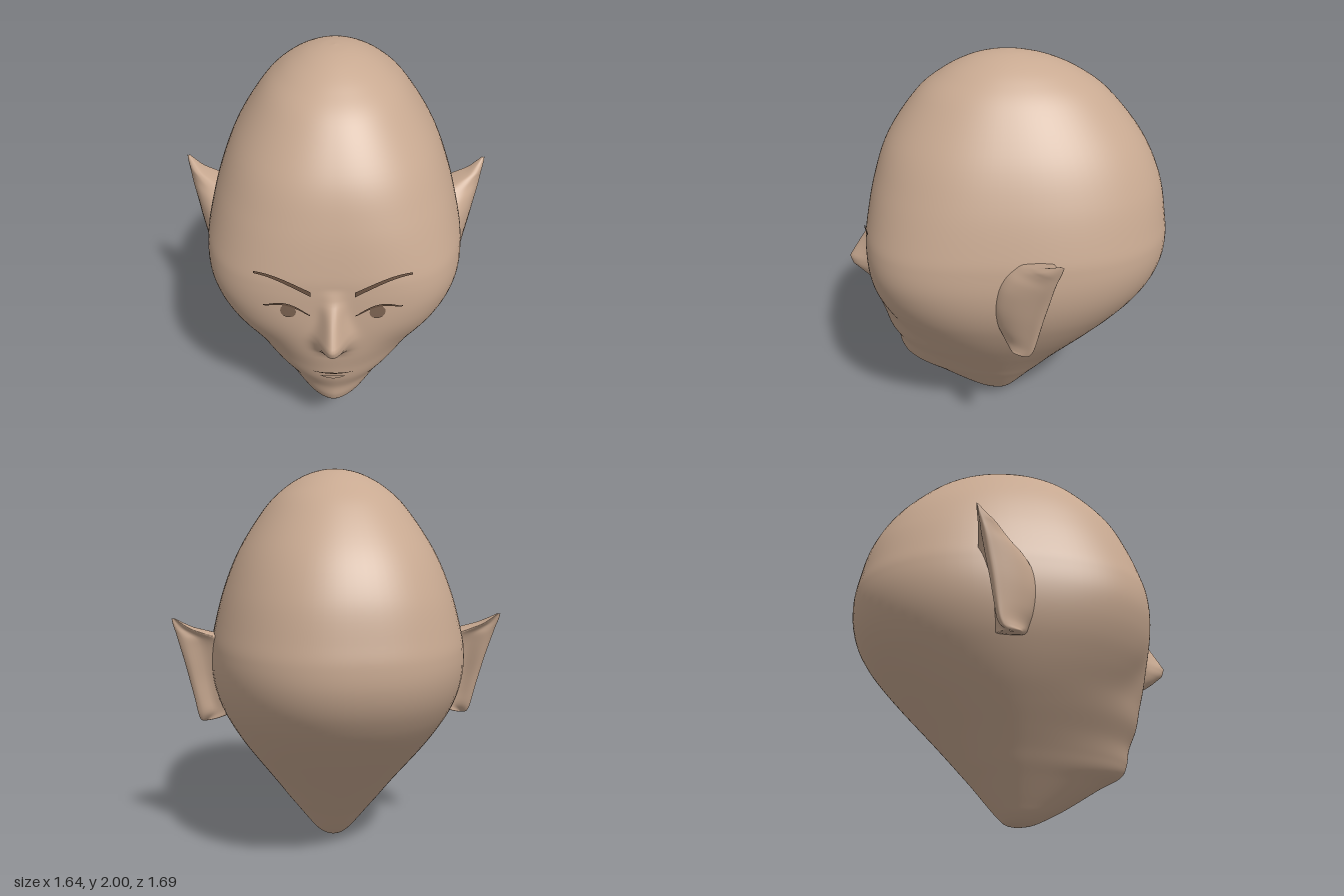
import * as THREE from 'three';

const skin = new THREE.MeshStandardMaterial({ color: 0xc8a991 });
skin.name = 'skin';
const hair = new THREE.MeshStandardMaterial({ color: 0x6a5241 });
hair.name = 'brow brown';
const irisBrown = new THREE.MeshStandardMaterial({ color: 0x7d6452 });
irisBrown.name = 'iris brown';

const lerp = THREE.MathUtils.lerp;

// Head levels: height, half width, front z, back z, front squareness, back squareness
const LEVELS = [
  [0, 0, 0.03, 0.03, 2, 2],
  [0.015, 0.055, 0.11, -0.03, 2, 2],
  [0.05, 0.1, 0.19, -0.07, 2, 2],
  [0.1, 0.14, 0.285, -0.115, 1.9, 2],
  [0.2, 0.215, 0.45, -0.2, 1.8, 2],
  [0.26, 0.26, 0.56, -0.255, 1.75, 2],
  [0.32, 0.302, 0.595, -0.31, 1.75, 2],
  [0.4, 0.36, 0.61, -0.385, 1.8, 2],
  [0.5, 0.432, 0.65, -0.48, 1.9, 2.05],
  [0.6, 0.5, 0.67, -0.575, 2, 2.1],
  [0.7, 0.558, 0.69, -0.665, 2.2, 2.15],
  [0.8, 0.605, 0.7, -0.745, 2.45, 2.2],
  [0.9, 0.635, 0.705, -0.805, 2.7, 2.25],
  [1.0, 0.648, 0.705, -0.838, 2.9, 2.3],
  [1.1, 0.645, 0.703, -0.845, 2.9, 2.35],
  [1.2, 0.63, 0.693, -0.833, 2.75, 2.35],
  [1.4, 0.575, 0.65, -0.79, 2.5, 2.3],
  [1.6, 0.49, 0.575, -0.69, 2.35, 2.25],
  [1.8, 0.36, 0.43, -0.52, 2.2, 2.15],
  [1.9, 0.26, 0.305, -0.38, 2.1, 2.1],
  [1.96, 0.165, 0.19, -0.25, 2, 2],
  [1.99, 0.08, 0.085, -0.125, 2, 2],
  [2, 0, -0.02, -0.02, 2, 2],
];
const spline = (cols) =>
  new THREE.CatmullRomCurve3(LEVELS.map((l) => new THREE.Vector3(...cols.map((c) => l[c]))), false, 'catmullrom');
const curveA = spline([0, 1, 2]);
const curveB = spline([3, 4, 5]);

function levelAt(u) {
  const a = curveA.getPoint(u), b = curveB.getPoint(u);
  return { y: a.x, w: Math.max(a.y, 0), front: a.z, back: b.x, nf: b.y, nb: b.z, mid: 0.03 - 0.025 * a.x };
}

// Nose ridge and soft hollows below the cheekbones
const NOSE = [[0.7, 0], [0.74, 0.015], [0.78, 0.075], [0.83, 0.132], [0.87, 0.143], [0.96, 0.085], [1.06, 0.018], [1.12, 0]];
function relief(x, y) {
  let height = 0;
  for (let i = 0; i + 1 < NOSE.length; i++) {
    const [y0, h0] = NOSE[i], [y1, h1] = NOSE[i + 1];
    if (y >= y0 && y < y1) height = lerp(h0, h1, (y - y0) / (y1 - y0));
  }
  const width = lerp(0.072, 0.045, THREE.MathUtils.smoothstep(y, 0.8, 1.0));
  const nose = height * Math.exp(-Math.pow(Math.abs(x) / width, 2.2));
  const hollow = 0.02 * Math.exp(-(((Math.abs(x) - 0.3) / 0.12) ** 2) - ((y - 0.68) / 0.13) ** 2);
  return nose - hollow;
}

// Height of the face surface in front of a point
function faceZ(x, y) {
  let lo = 0, hi = 1;
  for (let i = 0; i < 30; i++) {
    const m = (lo + hi) / 2;
    if (levelAt(m).y < y) lo = m; else hi = m;
  }
  const l = levelAt(lo);
  const k = Math.max(0, 1 - Math.pow(Math.abs(x) / l.w, l.nf));
  return l.mid + (l.front - l.mid) * Math.pow(k, 1 / l.nf) + relief(x, y);
}

// Skin over closed rings listed from bottom to top
function loft(rings) {
  const n = rings[0].length, index = [];
  for (let i = 0; i + 1 < rings.length; i++) {
    for (let j = 0; j < n; j++) {
      const a = i * n + j, b = i * n + ((j + 1) % n);
      index.push(a, b, b + n, a, b + n, a + n);
    }
  }
  const g = new THREE.BufferGeometry().setFromPoints(rings.flat());
  g.setIndex(index);
  g.computeVertexNormals();
  return g;
}

function headGeometry() {
  const rings = [], rows = 154, around = 128;
  for (let i = 0; i <= rows; i++) {
    const l = levelAt(lerp(0.0005, 0.9995, i / rows)), ring = [];
    for (let j = 0; j < around; j++) {
      // Columns crowd towards the face
      const t = (j / around) * Math.PI * 2;
      const a = t - 0.65 * Math.sin(t);
      const s = Math.sin(a), c = Math.cos(a), n = c > 0 ? l.nf : l.nb;
      const r = Math.pow(Math.pow(Math.abs(s), n) + Math.pow(Math.abs(c), n), -1 / n);
      const x = l.w * r * s;
      let z = l.mid + (c > 0 ? l.front - l.mid : l.mid - l.back) * r * c;
      if (c > 0) z += relief(x, l.y);
      ring.push(new THREE.Vector3(x, l.y, z));
    }
    rings.push(ring);
  }
  return loft(rings);
}

// Ear levels: height, inner x, outer x, front z, back z
const EAR = [
  [0.718, 0.68, 0.69, -0.1, -0.11],
  [0.728, 0.655, 0.704, -0.06, -0.14],
  [0.745, 0.6, 0.712, -0.035, -0.155],
  [0.78, 0.54, 0.72, -0.005, -0.17],
  [0.85, 0.56, 0.732, 0.02, -0.185],
  [0.95, 0.57, 0.752, 0.035, -0.205],
  [1.05, 0.57, 0.772, 0.02, -0.228],
  [1.12, 0.57, 0.788, -0.02, -0.243],
  [1.165, 0.59, 0.798, -0.075, -0.253],
  [1.195, 0.665, 0.804, -0.13, -0.26],
  [1.22, 0.73, 0.81, -0.175, -0.267],
  [1.25, 0.775, 0.817, -0.23, -0.275],
  [1.275, 0.808, 0.82, -0.27, -0.281],
];
function earGeometry(side) {
  const rings = EAR.map(([y, xi, xo, zf, zb]) => {
    const at = (u, v) => new THREE.Vector3(lerp(xi, xo, u) * side, y, lerp(zf, zb, v));
    const outline = [at(0, 0.02), at(0.4, 0.08), at(0.72, 0.36), at(0.93, 0.72), at(1, 0.94), at(0.85, 1), at(0.5, 0.88), at(0, 0.95)];
    if (side < 0) outline.reverse();
    return new THREE.CatmullRomCurve3(outline, true).getPoints(40).slice(0, 40);
  });
  // Smooth the rings along the height
  const columns = rings[0].map((_, j) => new THREE.CatmullRomCurve3(rings.map((r) => r[j]), false, 'catmullrom').getPoints(48));
  return loft(columns[0].map((_, i) => columns.map((c) => c[i])));
}

// Thin patch laid on the face between two height functions of |x|
function patch(x0, x1, top, bottom, lift) {
  const g = new THREE.PlaneGeometry(1, 1, 28, 4), p = g.attributes.position;
  for (let i = 0; i < p.count; i++) {
    const x = lerp(x0, x1, p.getX(i) + 0.5), ax = Math.abs(x);
    const y = lerp(bottom(ax), top(ax), p.getY(i) + 0.5);
    p.setXYZ(i, x, y, faceZ(x, y) + lift);
  }
  g.computeVertexNormals();
  return g;
}

export function createModel() {
  const model = new THREE.Group();
  model.name = 'elfHead';
  const add = (name, geometry, material) => {
    const mesh = new THREE.Mesh(geometry, material);
    mesh.name = name;
    model.add(mesh);
  };

  add('head', headGeometry(), skin);

  // Lid, brow and iris outlines
  const arc = (t) => Math.sin(Math.PI * THREE.MathUtils.clamp(t, 0, 1));
  const eyeT = (x) => (x - 0.11) / 0.2;
  const upper = (x) => 0.985 + 0.035 * eyeT(x) + 0.033 * arc(eyeT(x));
  const lower = (x) => 0.985 + 0.035 * eyeT(x) - 0.04 * arc(eyeT(x));
  const browT = (x) => (x - 0.1) / 0.26;
  const brow = (x) => 1.105 + 0.08 * Math.sin(browT(x) * 1.8);
  const browHalf = (x) => 0.013 - 0.008 * browT(x);
  const disc = (x) => Math.sqrt(Math.max(0, 0.037 ** 2 - (x - 0.205) ** 2));

  for (const side of [1, -1]) {
    const label = side > 0 ? 'left' : 'right';
    const both = (a, b, ...rest) => (side > 0 ? patch(a, b, ...rest) : patch(-b, -a, ...rest));
    add(label + 'Ear', earGeometry(side), skin);
    add(label + 'Eye', both(0.11, 0.31, upper, lower, 0.004), skin);
    add(label + 'Iris', both(0.168, 0.242, (x) => Math.min(1.0 + disc(x), upper(x)), (x) => 1.0 - disc(x), 0.007), irisBrown);
    add(label + 'Lashes', both(0.105, 0.32, (x) => upper(x) + 0.003 + 0.007 * arc((x - 0.105) / 0.215), (x) => upper(x) - 0.003, 0.009), hair);
    add(label + 'Brow', both(0.1, 0.36, (x) => brow(x) + browHalf(x), (x) => brow(x) - browHalf(x), 0.008), hair);
  }

  // Mouth line and lower lip
  add('mouthLine', patch(-0.1, 0.1, (x) => 0.572 - 0.04 * x, (x) => 0.562 + 0.04 * x, 0.008), hair);
  const lip = (x) => Math.cos((x / 0.065) * Math.PI / 2);
  add('lowerLip', patch(-0.065, 0.065, (x) => 0.538 + 0.014 * lip(x), (x) => 0.538 - 0.018 * lip(x), 0.006), skin);
  return model;
}
